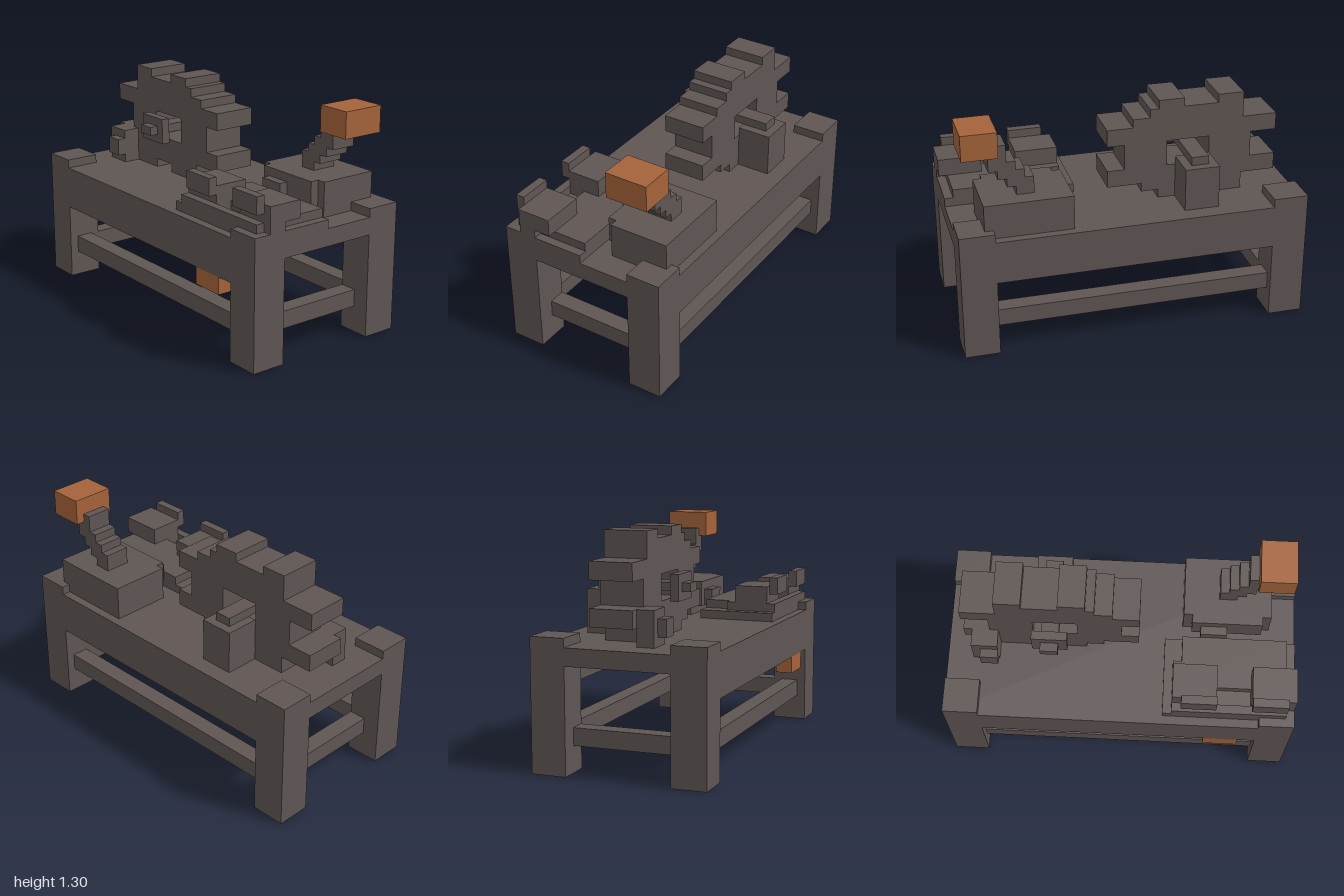
import * as THREE from 'three';

export function createModel() {
  const model = new THREE.Group();
  model.name = 'workbench';
  const iron = new THREE.MeshStandardMaterial({ color: 0x5f5653 });
  iron.name = 'dark brown';
  const copper = new THREE.MeshStandardMaterial({ color: 0xa5633a });
  copper.name = 'copper';

  // Axis-aligned block from min/max extents on each axis
  function block(parent, name, [x0, x1], [y0, y1], [z0, z1], material = iron) {
    const mesh = new THREE.Mesh(new THREE.BoxGeometry(x1 - x0, y1 - y0, z1 - z0), material);
    mesh.position.set((x0 + x1) / 2, (y0 + y1) / 2, (z0 + z1) / 2);
    mesh.name = name;
    parent.add(mesh);
    return mesh;
  }
  function part(name) {
    const group = new THREE.Group();
    group.name = name;
    model.add(group);
    return group;
  }
  // Extents mirrored to the other side of an axis
  const side = (s, a, b) => (s > 0 ? [a, b] : [-b, -a]);

  // Table: top, legs, aprons and stretchers
  const table = part('table');
  block(table, 'tableTop', [-1, 1], [0.6, 0.7], [-0.5, 0.5]);
  for (const s of [-1, 1]) {
    for (const t of [-1, 1]) block(table, 'leg', side(s, 0.8, 1), [0, 0.75], side(t, 0.3, 0.5));
    block(table, 'apron', [-0.8, 0.8], [0.45, 0.6], side(s, 0.4, 0.5));
    block(table, 'longStretcher', [-0.8, 0.8], [0.15, 0.25], side(s, 0.35, 0.45));
    block(table, 'endStretcher', side(s, 0.8, 0.9), [0.15, 0.25], [-0.3, 0.3]);
  }
  block(table, 'copperFitting', [0.5, 0.7], [0.35, 0.45], [0.4, 0.5], copper);

  // Stepped gear wheel with a square window
  const gearUnit = part('gearUnit');
  const outline = [
    [-0.7, 0.7], [-0.5, 0.7], [-0.5, 0.75], [-0.35, 0.75], [-0.35, 0.7], [-0.2, 0.7],
    [-0.2, 0.75], [-0.1, 0.75], [-0.1, 0.8], [0.1, 0.8], [0.1, 0.9], [0, 0.9],
    [0, 1.05], [0.1, 1.05], [0.1, 1.15], [-0.05, 1.15], [-0.05, 1.2], [-0.15, 1.2],
    [-0.15, 1.25], [-0.2, 1.25], [-0.2, 1.3], [-0.35, 1.3], [-0.35, 1.25], [-0.55, 1.25],
    [-0.55, 1.3], [-0.7, 1.3], [-0.7, 1.15], [-0.9, 1.15], [-0.9, 1.05], [-0.75, 1.05],
    [-0.75, 0.9], [-0.9, 0.9], [-0.9, 0.8], [-0.7, 0.8],
  ];
  const points = (list) => list.map(([x, y]) => new THREE.Vector2(x, y));
  const shape = new THREE.Shape(points(outline));
  shape.holes.push(new THREE.Path(points([[-0.5, 0.9], [-0.5, 1.05], [-0.25, 1.05], [-0.25, 0.9]])));
  const gear = new THREE.Mesh(
    new THREE.ExtrudeGeometry(shape, { depth: 0.25, bevelEnabled: false }), iron);
  gear.position.z = -0.2;
  gear.name = 'gear';
  gearUnit.add(gear);

  // Axle, hub plate, rear support and side bracket
  block(gearUnit, 'axle', [-0.45, -0.35], [0.95, 1], [-0.35, 0.2]);
  block(gearUnit, 'hubPlate', [-0.5, -0.3], [0.9, 1.05], [0.1, 0.15]);
  block(gearUnit, 'rearSupport', [-0.5, -0.3], [0.7, 0.95], [-0.4, -0.2]);
  block(gearUnit, 'bracket', [-0.85, -0.7], [0.7, 0.9], [0.05, 0.15]);
  block(gearUnit, 'bracketKnob', [-0.8, -0.7], [0.75, 0.85], [0.15, 0.2]);

  // Lever box with a stepped arm and copper grip
  const lever = part('leverUnit');
  block(lever, 'leverBox', [0.35, 0.85], [0.7, 0.9], [-0.45, -0.1]);
  block(lever, 'boxPanel', [0.4, 0.8], [0.75, 0.9], [-0.1, -0.05]);
  block(lever, 'panelKnob', [0.45, 0.6], [0.75, 0.85], [-0.05, 0]);
  for (let i = 0; i < 4; i++) {
    const x = 0.55 + i * 0.05;
    const y = 0.9 + i * 0.05;
    block(lever, 'leverStep', [x, x + 0.1], [y, i === 3 ? 1.2 : y + 0.1], [-0.35, -0.2]);
  }
  block(lever, 'leverGrip', [0.75, 0.95], [1.15, 1.3], [-0.4, -0.15], copper);

  // Clamp with two jaws and overhanging lips
  const clamp = part('clamp');
  block(clamp, 'clampBase', [0.25, 1], [0.7, 0.75], [0, 0.45]);
  block(clamp, 'clampBody', [0.35, 0.95], [0.75, 0.8], [0, 0.3]);
  block(clamp, 'frontLedge', [0.3, 0.95], [0.75, 0.8], [0.4, 0.45]);
  block(clamp, 'leftStep', [0.3, 0.35], [0.75, 0.8], [0.15, 0.4]);
  for (const s of [-1, 1]) {
    const span = (a, b) => side(s, a, b).map((v) => v + 0.65);
    block(clamp, 'jaw', span(0.1, 0.35), [0.8, 0.9], [0.2, 0.4]);
    block(clamp, 'jawFoot', span(0.1, 0.35), [0.75, 0.8], [0.3, 0.4]);
    block(clamp, 'jawLip', span(0.1, 0.3), [0.85, 0.95], [0.4, 0.45]);
  }
  return model;
}
